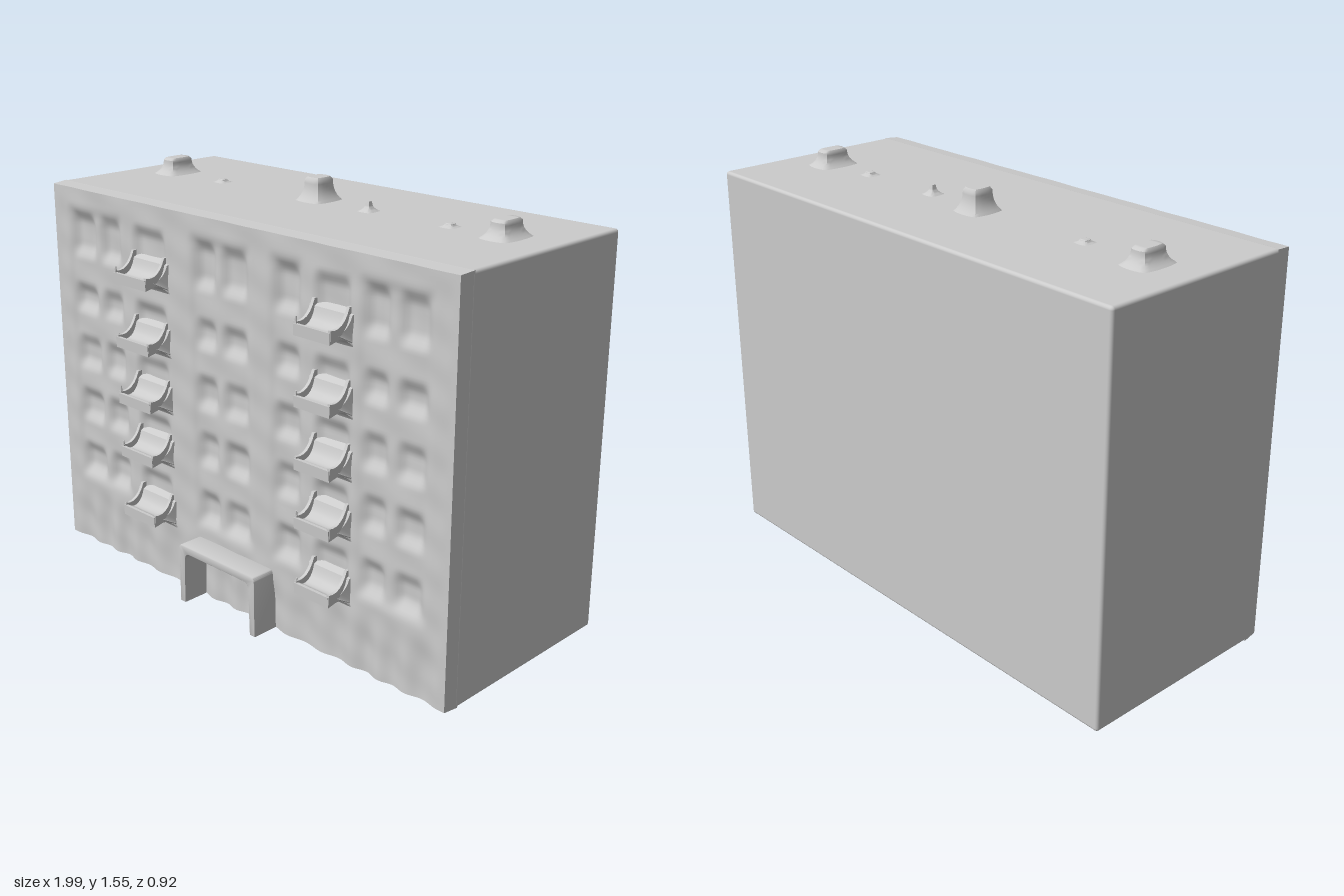
import * as THREE from 'three';
import { toCreasedNormals } from 'three/addons/utils/BufferGeometryUtils.js';
import { RoundedBoxGeometry } from 'three/addons/geometries/RoundedBoxGeometry.js';

const material = new THREE.MeshStandardMaterial({ color: 0xcccccc, roughness: 0.8 });
const HALF = 0.993, BOTTOM = 0.004, ROOF = 1.47, FRONT = 0.367;

function add(parent, name, geometry, x = 0, y = 0, z = 0) {
  const mesh = new THREE.Mesh(geometry, material);
  mesh.name = name;
  mesh.position.set(x, y, z);
  parent.add(mesh);
  return mesh;
}

// Soft 0..1 pulse between a and b, with a blend of width s at each end
const pulse = (v, a, b, s) =>
  THREE.MathUtils.smoothstep(v, a, a + s) * (1 - THREE.MathUtils.smoothstep(v, b - s, b));

// Window columns, recessed bays and window rows of the facade
const columns = [[-0.9, -0.74], [-0.73, -0.59], [-0.53, -0.33], [-0.2, -0.07], [-0.06, 0.09],
  [0.2, 0.34], [0.39, 0.57], [0.6, 0.73], [0.745, 0.89]];
const bays = [[-0.92, -0.57], [-0.22, 0.11], [0.18, 0.36], [0.58, 0.91]];
const rows = [[0.29, 0.45], [0.52, 0.68], [0.74, 0.9], [0.97, 1.11], [1.19, 1.39]];

function facadeDepth(x, y) {
  const across = Math.max(...columns.map(([a, b]) => pulse(x, a, b, 0.045)));
  const up = Math.max(...rows.map(([a, b]) => pulse(y, a, b, 0.06)));
  const bay = Math.max(...bays.map(([a, b]) => pulse(x, a, b, 0.04))) * pulse(y, 0.27, 1.41, 0.05);
  const ground = 1 - THREE.MathUtils.smoothstep(y, 0.1, 0.27);
  const ripple = 0.5 - 0.5 * Math.cos(x * 45 + Math.sin(x * 9));
  const uneven = 0.002 * Math.sin(x * 23 + y * 17) * Math.sin(y * 29 - x * 7);
  const edge = pulse(x, -0.99, 0.99, 0.05);
  return edge * (0.021 * across * up + 0.007 * bay + 0.013 * ground * ripple + uneven);
}

// Relief sheet whose outer ring folds back onto the body
function facadeGeometry() {
  const nx = 170, ny = 130;
  const geometry = new THREE.PlaneGeometry(1, 1, nx, ny);
  const pos = geometry.attributes.position;
  for (let k = 0; k < pos.count; k++) {
    const i = k % (nx + 1), j = Math.floor(k / (nx + 1));
    const rim = i === 0 || j === 0 || i === nx || j === ny;
    const u = THREE.MathUtils.clamp((i - 1) / (nx - 2), 0, 1);
    const v = 1 - THREE.MathUtils.clamp((j - 1) / (ny - 2), 0, 1);
    const inset = rim ? 0 : 0.005;
    const x = THREE.MathUtils.lerp(-HALF + inset, HALF - inset, u);
    const y = THREE.MathUtils.lerp(BOTTOM + inset, ROOF - inset, v);
    pos.setXYZ(k, x, y, rim ? 0.305 : FRONT - facadeDepth(x, y));
  }
  return toCreasedNormals(geometry, 0.7);
}

// Balcony slab: side profile (z, y) flaring into the wall, swept across x
function balconyGeometry(width) {
  const shape = new THREE.Shape();
  shape.moveTo(0.33, -0.05);
  shape.lineTo(0.368, -0.045);
  shape.quadraticCurveTo(0.385, -0.015, 0.42, -0.014);
  shape.lineTo(0.46, -0.022);
  shape.lineTo(0.462, 0.018);
  shape.lineTo(0.45, 0.018);
  shape.quadraticCurveTo(0.435, 0.004, 0.42, 0.004);
  shape.quadraticCurveTo(0.385, 0.006, 0.372, 0.06);
  shape.lineTo(0.33, 0.08);
  const geometry = new THREE.ExtrudeGeometry(shape, { depth: width, bevelEnabled: false, curveSegments: 6 });
  geometry.translate(0, 0, -width / 2);
  geometry.rotateY(-Math.PI / 2);
  // The rotation maps the profile to +z; widen it towards the wall
  const pos = geometry.attributes.position;
  for (let k = 0; k < pos.count; k++) {
    const t = THREE.MathUtils.clamp((0.42 - pos.getZ(k)) / 0.06, 0, 1);
    pos.setX(k, pos.getX(k) * (1 + 0.28 * t * t));
  }
  return toCreasedNormals(geometry, 0.6);
}

// Thin cheek on a balcony end: high at the wall, low at the front
function cheekGeometry() {
  const shape = new THREE.Shape();
  shape.moveTo(0.34, -0.01);
  shape.lineTo(0.458, -0.01);
  shape.lineTo(0.458, 0.025);
  shape.quadraticCurveTo(0.4, 0.01, 0.372, 0.085);
  shape.lineTo(0.34, 0.085);
  const geometry = new THREE.ExtrudeGeometry(shape, { depth: 0.012, bevelEnabled: false, curveSegments: 6 });
  geometry.translate(0, 0, -0.006);
  geometry.rotateY(-Math.PI / 2);
  return toCreasedNormals(geometry, 0.6);
}

function balcony(name, x, y, width, spike) {
  const group = new THREE.Group();
  group.name = name;
  group.position.set(x, y, 0);
  add(group, 'balconySlab', balconyGeometry(width));
  for (const side of [-1, 1]) add(group, 'balconyCheek', cheekGeometry(), side * (width / 2 - 0.004));
  // Broken railing post at the front corner
  add(group, 'railingPost', new THREE.CylinderGeometry(0.003, 0.006, spike, 6), -width / 2 + 0.005, spike / 2, 0.453);
  return group;
}

// Entrance surround: two walls and a roof with rounded corners
function entranceGeometry() {
  const shape = new THREE.Shape();
  shape.moveTo(-0.2, 0.012);
  shape.lineTo(-0.2, 0.225);
  shape.quadraticCurveTo(-0.2, 0.24, -0.185, 0.24);
  shape.lineTo(0.18, 0.24);
  shape.quadraticCurveTo(0.195, 0.24, 0.195, 0.225);
  shape.lineTo(0.195, 0.012);
  shape.lineTo(0.175, 0.012);
  shape.lineTo(0.17, 0.185);
  shape.quadraticCurveTo(0.168, 0.215, 0.14, 0.215);
  shape.lineTo(-0.145, 0.215);
  shape.quadraticCurveTo(-0.173, 0.215, -0.175, 0.185);
  shape.lineTo(-0.18, 0.012);
  const geometry = new THREE.ExtrudeGeometry(shape, {
    depth: 0.12, bevelSize: 0.003, bevelThickness: 0.004, bevelSegments: 2, curveSegments: 6,
  });
  geometry.translate(0, 0, 0.336);
  return toCreasedNormals(geometry, 0.6);
}

// Roof vent: a block whose foot flares out into the roof
function ventGeometry(width, depth, height, flare) {
  const geometry = new RoundedBoxGeometry(1, 1, 1, 3, 0.2);
  const stack = new THREE.BoxGeometry(1, 1, 1, 6, 8, 6);
  geometry.dispose();
  const pos = stack.attributes.position;
  for (let k = 0; k < pos.count; k++) {
    const t = pos.getY(k) + 0.5;
    const x = pos.getX(k) * 2, z = pos.getZ(k) * 2;
    const round = 1 - 0.14 * x * x * z * z;
    const spread = flare * (1 - t) ** 3;
    const crown = t > 0.99 ? 0.82 : 1;
    pos.setXYZ(k, x * round * crown * (width / 2 + spread), t * height - 0.003, z * round * crown * (depth / 2 + spread));
  }
  return toCreasedNormals(stack, 0.7);
}

export function createModel() {
  const model = new THREE.Group();
  model.name = 'apartmentBlock';

  // Plain body behind the relief facade
  const height = ROOF - BOTTOM;
  add(model, 'buildingBody', new RoundedBoxGeometry(HALF * 2, height, 0.78, 3, 0.012),
    0, BOTTOM + height / 2, -0.07);
  add(model, 'windowFacade', facadeGeometry());

  // Two stacks of five balconies
  [0.283, 0.525, 0.737, 0.957, 1.2].forEach((y, floor) => {
    model.add(balcony('rightBalcony', -0.43, y, 0.18, 0.03 + 0.008 * (floor % 3)));
    model.add(balcony('leftBalcony', 0.478, y, 0.16, 0.025 + 0.008 * ((floor + 1) % 3)));
  });

  add(model, 'entranceSurround', entranceGeometry());

  // Roof vents: x, z, width, depth, height, flare
  const vents = [
    [-0.805, -0.1, 0.065, 0.11, 0.065, 0.035],
    [-0.035, -0.105, 0.075, 0.09, 0.088, 0.03],
    [0.8, -0.1, 0.065, 0.11, 0.065, 0.035],
    [-0.53, -0.09, 0.03, 0.03, 0.015, 0.03],
    [0.225, -0.085, 0.016, 0.02, 0.038, 0.03],
    [0.58, -0.09, 0.03, 0.03, 0.016, 0.03],
  ];
  for (const [x, z, w, d, h, flare] of vents) add(model, 'roofVent', ventGeometry(w, d, h, flare), x, ROOF, z);

  return model;
}
